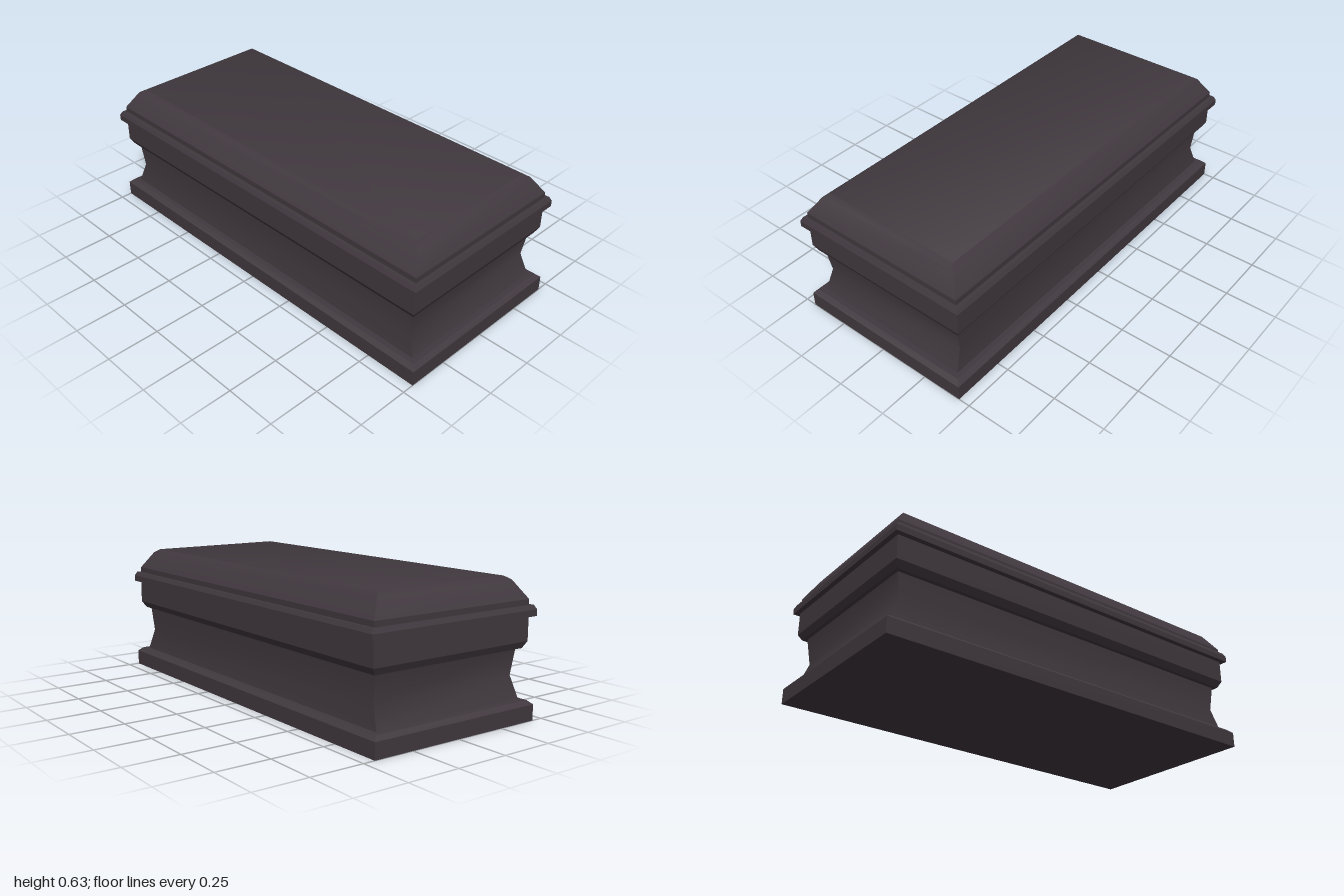
import * as THREE from 'three';
import { toCreasedNormals } from 'three/addons/utils/BufferGeometryUtils.js';

// Loft stacked rectangles [halfX, halfZ, y], capped at both ends
function loft(rings, crease) {
  const pos = [], idx = [];
  for (const [x, z, y] of rings) pos.push(-x, y, z, x, y, z, x, y, -z, -x, y, -z);
  for (let r = 0; r < rings.length - 1; r++) {
    for (let i = 0; i < 4; i++) {
      const a = r * 4 + i, b = r * 4 + (i + 1) % 4;
      idx.push(a, b, b + 4, a, b + 4, a + 4);
    }
  }
  const t = (rings.length - 1) * 4;
  idx.push(0, 2, 1, 0, 3, 2, t, t + 1, t + 2, t, t + 2, t + 3);
  const g = new THREE.BufferGeometry();
  g.setAttribute('position', new THREE.Float32BufferAttribute(pos, 3));
  g.setIndex(idx);
  return toCreasedNormals(g, crease);
}

export function createModel() {
  const group = new THREE.Group();
  const stone = new THREE.MeshStandardMaterial({ color: 0x40383e });
  stone.name = 'dark stone';
  const add = (name, rings, crease = 0.3) => {
    const mesh = new THREE.Mesh(loft(rings, crease), stone);
    mesh.name = name;
    group.add(mesh);
  };

  // Plinth with a bevelled top edge
  add('plinth', [[0.445, 1, 0], [0.445, 1, 0.073], [0.424, 0.98, 0.091]]);
  // Concave waist, smooth across the narrowest point
  add('waist', [[0.4, 0.955, 0.091], [0.384, 0.915, 0.195], [0.391, 0.935, 0.318]], 0.6);
  // Upper body with a chamfered underside
  add('upperBody', [[0.411, 0.952, 0.317], [0.43, 0.967, 0.348], [0.43, 0.967, 0.459]]);
  // Projecting moulding under the lid
  add('rim', [[0.455, 0.99, 0.458], [0.455, 0.99, 0.487], [0.445, 0.98, 0.506]]);
  // Lid: straight band, then softly shaded slope and shoulder
  add('lidBand', [[0.428, 0.967, 0.505], [0.428, 0.967, 0.531]]);
  add('lid', [[0.428, 0.967, 0.531], [0.372, 0.917, 0.613], [0.35, 0.89, 0.629]], 0.7);
  return group;
}
